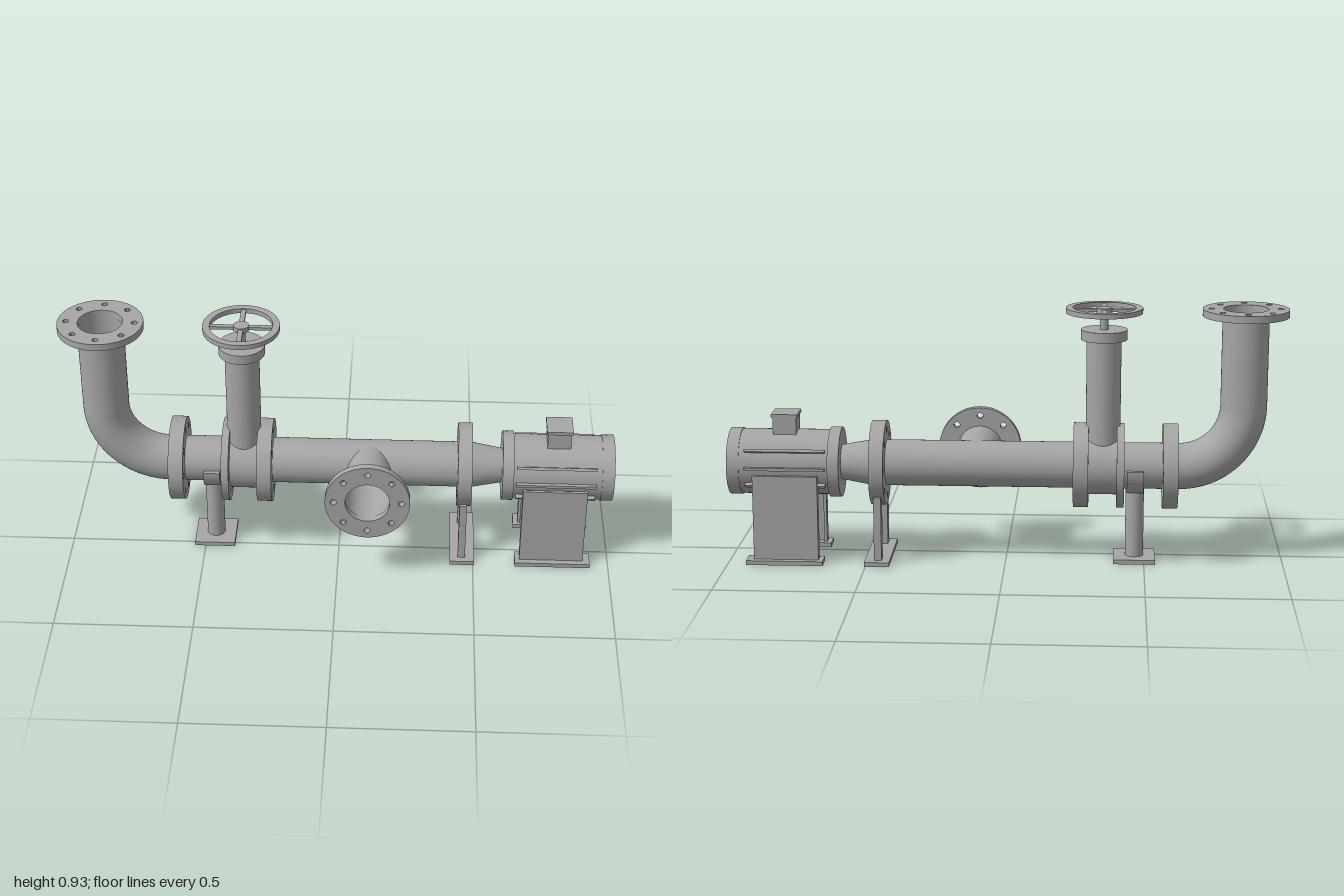
import * as THREE from 'three';
import { toCreasedNormals } from 'three/addons/utils/BufferGeometryUtils.js';

const AY = 0.35, AZ = -0.053;   // main pipe axis
const R = 0.083;                // pipe radius
const FR = 0.153;               // flange radius

export function createModel() {
  const model = new THREE.Group();
  const steel = new THREE.MeshStandardMaterial({ color: 0xa6a6a6, side: THREE.DoubleSide });
  steel.name = 'grey steel';

  const add = (name, geo, x = 0, y = 0, z = 0) => {
    const m = new THREE.Mesh(geo, steel);
    m.name = name;
    m.position.set(x, y, z);
    model.add(m);
    return m;
  };
  // Box from its limits
  const box = (name, x0, x1, y0, y1, z0, z1) =>
    add(name, new THREE.BoxGeometry(x1 - x0, y1 - y0, z1 - z0),
      (x0 + x1) / 2, (y0 + y1) / 2, (z0 + z1) / 2);
  // Cylinder or cone along x on the main axis
  const xCyl = (name, x0, x1, r0, r1 = r0, open = false) =>
    add(name, new THREE.CylinderGeometry(r1, r0, x1 - x0, 48, 1, open).rotateZ(-Math.PI / 2),
      (x0 + x1) / 2, AY, AZ);
  const yCyl = (name, x, y0, y1, r, open = false) =>
    add(name, new THREE.CylinderGeometry(r, r, y1 - y0, 48, 1, open), x, (y0 + y1) / 2, AZ);
  const extrude = (shape, depth) => toCreasedNormals(
    new THREE.ExtrudeGeometry(shape, { depth, bevelEnabled: false, curveSegments: 40 }), 0.7);
  const circle = (C, x, y, r) => new C().absarc(x, y, r, 0, Math.PI * 2, false);

  // Bored disc with eight bolt holes, extruded along +z
  const flange = (depth) => {
    const s = circle(THREE.Shape, 0, 0, FR);
    s.holes.push(circle(THREE.Path, 0, 0, R - 0.003));
    for (let i = 0; i < 8; i++) {
      const a = i * Math.PI / 4;
      s.holes.push(circle(THREE.Path, Math.cos(a) * 0.122, Math.sin(a) * 0.122, 0.011));
    }
    return extrude(s, depth);
  };

  // Flanges on the main line
  for (const [x0, x1] of [[-0.617, -0.563], [-0.425, -0.398], [-0.297, -0.243], [0.433, 0.485]])
    add('pipeFlange', flange(x1 - x0).rotateY(Math.PI / 2), x0, AY, AZ);

  // Elbow rising to the open inlet
  const EX = -0.848, BEND = 0.228;
  add('elbow', new THREE.TorusGeometry(BEND, R, 48, 32, Math.PI / 2).rotateZ(Math.PI),
    EX + BEND, AY + BEND, AZ);
  yCyl('risingPipe', EX, AY + BEND, 0.915, R, true);
  add('inletFlange', flange(0.026).rotateX(-Math.PI / 2), EX, 0.9, AZ);

  // Main pipe in two halves, mitred where the branch leaves it
  const TX = 0.11;
  for (const [s, end] of [[-1, EX + BEND], [1, 0.487]]) {
    const pipe = xCyl('mainPipe', Math.min(TX, end), Math.max(TX, end), R, R, true);
    const p = pipe.geometry.attributes.position;
    for (let i = 0; i < p.count; i++)
      if (p.getX(i) * s < 0) p.setX(i, p.getX(i) + s * Math.max(0, p.getZ(i)));
  }
  // Side branch with its back end mitred to match
  const BL = 0.25;
  const branch = new THREE.CylinderGeometry(R, R, BL, 48, 1, true).rotateX(Math.PI / 2);
  const bp = branch.attributes.position;
  for (let i = 0; i < bp.count; i++)
    if (bp.getZ(i) < 0) bp.setZ(i, -BL / 2 + Math.abs(bp.getX(i)));
  add('branchPipe', branch, TX, AY, AZ + BL / 2);
  add('branchFlange', flange(0.026), TX, AY, 0.179);

  // Valve
  const VX = -0.348;
  xCyl('valveBody', -0.4, -0.295, 0.105);
  yCyl('valveBonnet', VX, AY, 0.812, 0.062);
  yCyl('valveCollar', VX, 0.812, 0.848, R);
  yCyl('valveStem', VX, 0.84, 0.924, 0.015);
  const rim = circle(THREE.Shape, 0, 0, 0.137);
  rim.holes.push(circle(THREE.Path, 0, 0, 0.112));
  add('handwheelRim', extrude(rim, 0.018).rotateX(-Math.PI / 2), VX, 0.908, AZ);
  yCyl('handwheelHub', VX, 0.906, 0.926, 0.028);
  box('handwheelSpoke', VX - 0.118, VX + 0.118, 0.911, 0.922, AZ - 0.009, AZ + 0.009);
  box('handwheelSpoke', VX - 0.009, VX + 0.009, 0.911, 0.922, AZ - 0.118, AZ + 0.118);

  // Single post support with half-round saddle
  const PX = -0.465;
  const saddle = new THREE.Shape();
  saddle.absarc(0, 0, 0.1, Math.PI, Math.PI * 2, false);
  saddle.absarc(0, 0, R, Math.PI * 2, Math.PI, true);
  add('postSaddle', extrude(saddle, 0.06).rotateY(Math.PI / 2), PX - 0.03, AY, AZ);
  yCyl('supportPost', PX, 0.01, 0.265, 0.033);
  box('postBase', PX - 0.075, PX + 0.075, 0, 0.016, AZ - 0.075, AZ + 0.075);

  // Twin leg support under the last flange
  box('twinLegBase', 0.415, 0.505, 0, 0.016, AZ - FR, AZ + FR);
  for (const s of [-1, 1]) {
    const z = AZ + s * 0.106;
    box('twinLeg', 0.444, 0.471, 0.016, 0.25, z - 0.022, z + 0.022);
  }

  // Motor
  xCyl('reducer', 0.485, 0.6, R, 0.062);
  xCyl('motorFrontBell', 0.595, 0.636, 0.127);
  xCyl('motorBody', 0.636, 0.956, 0.118);
  xCyl('motorEndCap', 0.956, 1.0, 0.121);
  for (const side of [0, Math.PI])
    for (const k of [-1, 0, 1]) {
      const a = side + k * 0.53;
      const fin = add('motorFin', new THREE.BoxGeometry(0.29, 0.01, 0.03),
        0.79, AY + Math.sin(a) * 0.117, AZ + Math.cos(a) * 0.117);
      fin.rotation.x = -a;
    }
  box('terminalBox', 0.755, 0.84, 0.44, 0.522, AZ - 0.045, AZ + 0.045);
  box('terminalLid', 0.75, 0.845, 0.522, 0.534, AZ - 0.05, AZ + 0.05);

  // Motor legs: channels with their open side facing inward
  for (const s of [-1, 1]) {
    const slab = (name, x0, x1, y0, y1, d0, d1) =>
      box(name, x0, x1, y0, y1, Math.min(AZ + s * d0, AZ + s * d1), Math.max(AZ + s * d0, AZ + s * d1));
    slab('motorLegWeb', 0.672, 0.906, 0.016, 0.325, 0.12, 0.131);
    slab('motorLegEdge', 0.672, 0.683, 0.016, 0.325, 0.098, 0.12);
    slab('motorLegEdge', 0.895, 0.906, 0.016, 0.325, 0.098, 0.12);
    slab('motorFoot', 0.655, 0.932, 0, 0.016, 0.083, FR);
  }
  return model;
}
